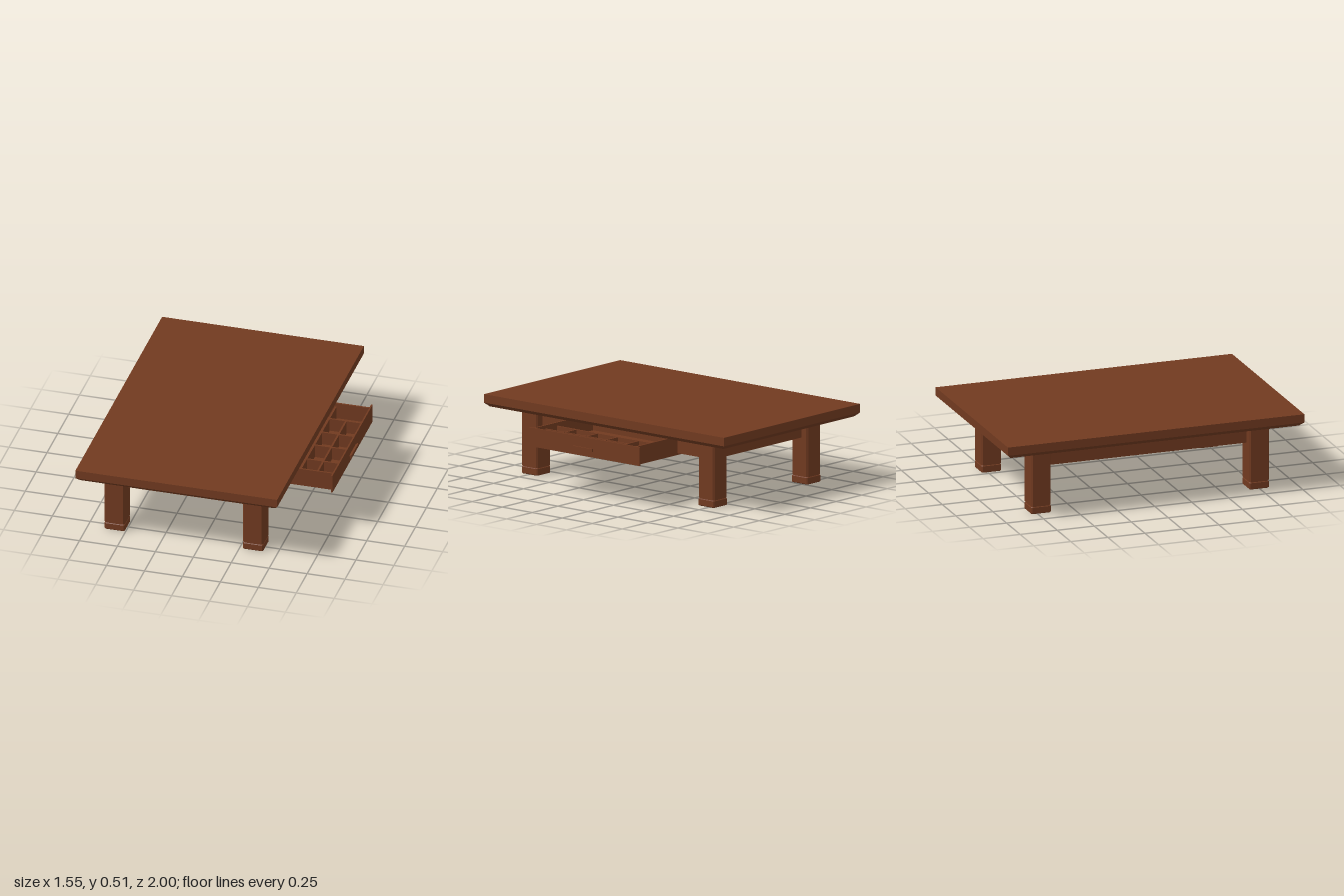
import * as THREE from 'three';

const wood = new THREE.MeshStandardMaterial({ color: 0x713a20 });

// Box given by its min/max extents on each axis
function box(parent, name, x0, x1, y0, y1, z0, z1) {
  const mesh = new THREE.Mesh(new THREE.BoxGeometry(x1 - x0, y1 - y0, z1 - z0), wood);
  mesh.position.set((x0 + x1) / 2, (y0 + y1) / 2, (z0 + z1) / 2);
  mesh.name = name;
  parent.add(mesh);
  return mesh;
}

// Pulls the lower corners of a box inwards to make a bevelled underside
function taperBottom(mesh, inset) {
  const p = mesh.geometry.attributes.position;
  for (let i = 0; i < p.count; i++) {
    if (p.getY(i) > 0) continue;
    p.setX(i, p.getX(i) - Math.sign(p.getX(i)) * inset);
    p.setZ(i, p.getZ(i) - Math.sign(p.getZ(i)) * inset);
  }
  mesh.geometry = mesh.geometry.toNonIndexed();
  mesh.geometry.computeVertexNormals();
}

// Square post with chamfered corners, standing from y0 to y1
function post(parent, name, half, chamfer, y0, y1, bevel) {
  const h = half - bevel, c = h - chamfer;
  const shape = new THREE.Shape([
    [c, -h], [h, -c], [h, c], [c, h], [-c, h], [-h, c], [-h, -c], [-c, -h],
  ].map(([x, y]) => new THREE.Vector2(x, y)));
  const geo = new THREE.ExtrudeGeometry(shape, {
    depth: y1 - y0 - 2 * bevel, bevelEnabled: bevel > 0,
    bevelSize: bevel, bevelThickness: bevel, bevelSegments: 1,
  });
  geo.rotateX(-Math.PI / 2);
  const mesh = new THREE.Mesh(geo, wood);
  mesh.position.y = y0 + bevel;
  mesh.name = name;
  parent.add(mesh);
}

export function createModel() {
  const model = new THREE.Group();
  model.name = 'coffeeTable';

  // Table top with a bevelled lower edge
  const top = new THREE.Group();
  top.name = 'tableTop';
  box(top, 'slab', -0.777, 0.552, 0.455, 0.51, -1, 1);
  taperBottom(box(top, 'bevel', -0.777, 0.552, 0.43, 0.455, -1, 1), 0.027);
  model.add(top);

  // Legs, each with a thin groove above the foot
  const legX = [-0.573, 0.339], legZ = [-0.725, 0.747];
  for (const x of legX) for (const z of legZ) {
    const leg = new THREE.Group();
    leg.name = 'leg';
    post(leg, 'shaft', 0.067, 0.01, 0.052, 0.43, 0);
    post(leg, 'groove', 0.063, 0.01, 0.04, 0.054, 0);
    post(leg, 'foot', 0.067, 0.005, 0, 0.048, 0.005);
    leg.position.set(x, 0, z);
    model.add(leg);
  }

  // Aprons between the legs, open on the drawer side, under a bevelled sub-frame
  const t = 0.016, y0 = 0.3, y1 = 0.425;
  const apron = new THREE.Group();
  apron.name = 'apron';
  for (const z of legZ) box(apron, 'shortApron', legX[0], legX[1], y0, y1, z - t, z + t);
  box(apron, 'longApron', legX[0] - t, legX[0] + t, y0, y1, legZ[0], legZ[1]);
  const dx = legX[1];
  box(apron, 'drawerSideApron', dx - t, dx + t, y0, y1, legZ[0], -0.445);
  box(apron, 'drawerSideApron', dx - t, dx + t, y0, y1, 0.42, legZ[1]);
  const e = t + 0.014;
  taperBottom(box(apron, 'subFrame', legX[0] - e, dx + e, 0.417, 0.431, legZ[0] - e, legZ[1] + e), 0.012);
  model.add(apron);

  // Open drawer
  const drawer = new THREE.Group();
  drawer.name = 'drawer';
  const w = 0.012, x0 = 0.17, x1 = 0.75, z0 = -0.443, z1 = 0.418, yb = 0.287, yt = 0.407;
  box(drawer, 'drawerFloor', x0, x1, yb, yb + w, z0, z1);
  box(drawer, 'drawerSide', x0, x1, yb, yt, z0, z0 + w);
  box(drawer, 'drawerSide', x0, x1, yb, yt, z1 - w, z1);
  box(drawer, 'drawerBack', x0, x0 + w, yb, yt, z0, z1);
  box(drawer, 'drawerFront', x1, x1 + 0.01, yb, 0.409, -0.475, 0.45);

  // Compartment dividers
  const yd = 0.385;
  for (const z of [-0.275, -0.1, 0.067, 0.248]) {
    box(drawer, 'crossDivider', 0.53, x1, yb, yd, z - 0.006, z + 0.006);
  }
  box(drawer, 'longDivider', 0.636, 0.648, yb, yd, -0.275, z1);
  box(drawer, 'longDivider', 0.524, 0.536, yb, yd, z0, z1);

  // Handle: a grip bar flaring outwards from its base
  box(drawer, 'handleBase', 0.76, 0.768, 0.33, 0.34, -0.085, 0.06);
  box(drawer, 'handleGrip', 0.766, 0.776, 0.325, 0.345, -0.092, 0.07);
  model.add(drawer);

  return model;
}
